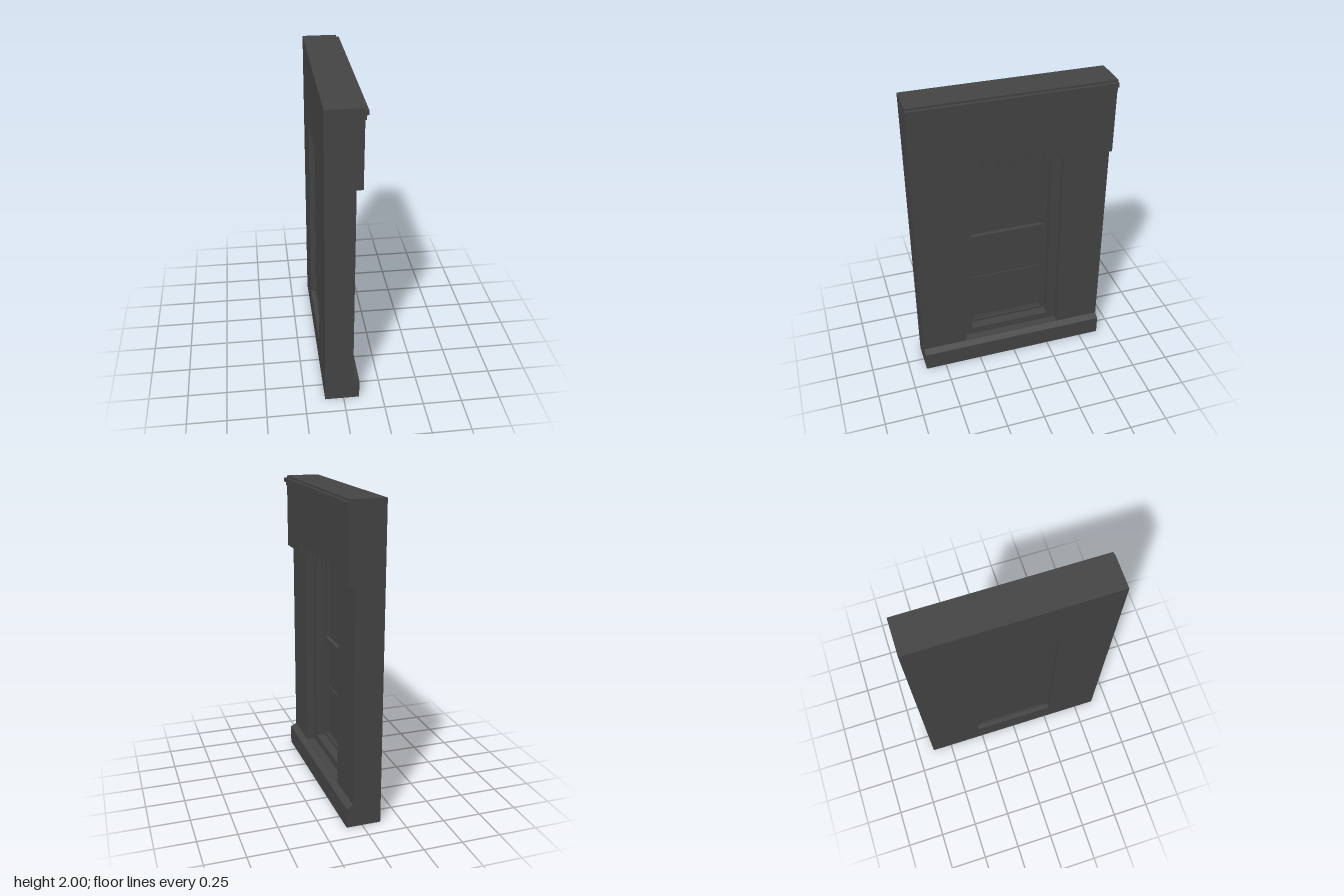
import * as THREE from 'three';

const HALF = 0.637; // half width of the wall along z
const BACK = -0.12;
const WALL = 0.06; // main wall face
const JAMB = 0.007; // stepped jamb face
const UPPER = 0.099; // face of the band above the window

const material = new THREE.MeshStandardMaterial({ color: 0x444444, flatShading: true });

export function createModel() {
  const group = new THREE.Group();

  const add = (name, geometry) => {
    const mesh = new THREE.Mesh(geometry, material);
    mesh.name = name;
    group.add(mesh);
  };
  const box = (name, x0, x1, y0, y1, z0, z1) => {
    const g = new THREE.BoxGeometry(x1 - x0, y1 - y0, z1 - z0);
    add(name, g.translate((x0 + x1) / 2, (y0 + y1) / 2, (z0 + z1) / 2));
  };
  const polygon = (pts) => pts.map((p) => new THREE.Vector2(...p));
  const rect = (w, y0, y1) => polygon([[-w, y0], [w, y0], [w, y1], [-w, y1]]);

  // Outline in the wall plane, given thickness from x0 to x1
  const slab = (name, outline, holes, x0, x1) => {
    const shape = new THREE.Shape(outline);
    holes.forEach((h) => shape.holes.push(new THREE.Path(h)));
    const g = new THREE.ExtrudeGeometry(shape, { depth: x1 - x0, bevelEnabled: false });
    add(name, g.rotateY(Math.PI / 2).translate(x0, 0, 0));
  };
  // Moulding section (x, y) run along the wall
  const moulding = (name, section) => {
    const g = new THREE.ExtrudeGeometry(new THREE.Shape(polygon(section)), { depth: HALF * 2, bevelEnabled: false });
    add(name, g.translate(0, 0, -HALF));
  };

  // Wall in two layers, so the window opening has a stepped jamb
  slab('innerWall', rect(HALF, 0, 2), [rect(0.275, 0.2, 1.53)], BACK, JAMB);
  slab('outerWall', rect(HALF, 0, 2), [rect(0.335, 0.15, 1.53)], JAMB, WALL);

  // Thin casing round the opening on the back
  slab('backCasing', rect(0.335, 0.15, 1.58), [rect(0.275, 0.2, 1.53)], BACK - 0.001, BACK);

  // Plinth with a sloped top
  moulding('plinth', [[WALL, 0], [0.101, 0], [0.101, 0.127], [WALL, 0.148]]);

  // Upper band, notched over the window
  slab('upperBand', polygon([
    [-HALF, 1.52], [-0.335, 1.52], [-0.335, 1.58], [0.335, 1.58],
    [0.335, 1.52], [HALF, 1.52], [HALF, 2], [-HALF, 2],
  ]), [], WALL, UPPER);

  // Dentils in the notch, set slightly behind the band
  for (let i = 0; i < 7; i++) {
    const z = 0.26 - 0.095 * i;
    box('dentil', WALL, UPPER - 0.006, 1.53, 1.58, z - 0.025, z + 0.025);
  }

  // Stepped cornice
  moulding('cornice', [
    [UPPER, 1.935], [0.106, 1.935], [0.106, 1.96], [0.119, 1.96], [0.119, 1.987], [UPPER, 1.987],
  ]);

  // Window frame, glazing and rails
  slab('windowFrame', rect(0.275, 0.2, 1.53), [rect(0.252, 0.22, 1.505)], -0.09, -0.055);
  box('glass', -0.085, -0.078, 0.21, 1.52, -0.26, 0.26);
  slab('upperSash', rect(0.252, 0.93, 1.505), [rect(0.242, 0.945, 1.495)], -0.08, -0.064);
  slab('lowerSash', rect(0.252, 0.22, 0.93), [rect(0.24, 0.585, 0.91), rect(0.24, 0.23, 0.562)], -0.08, -0.07);
  box('meetingRail', -0.08, -0.05, 0.908, 0.945, -0.252, 0.252);

  return group;
}
